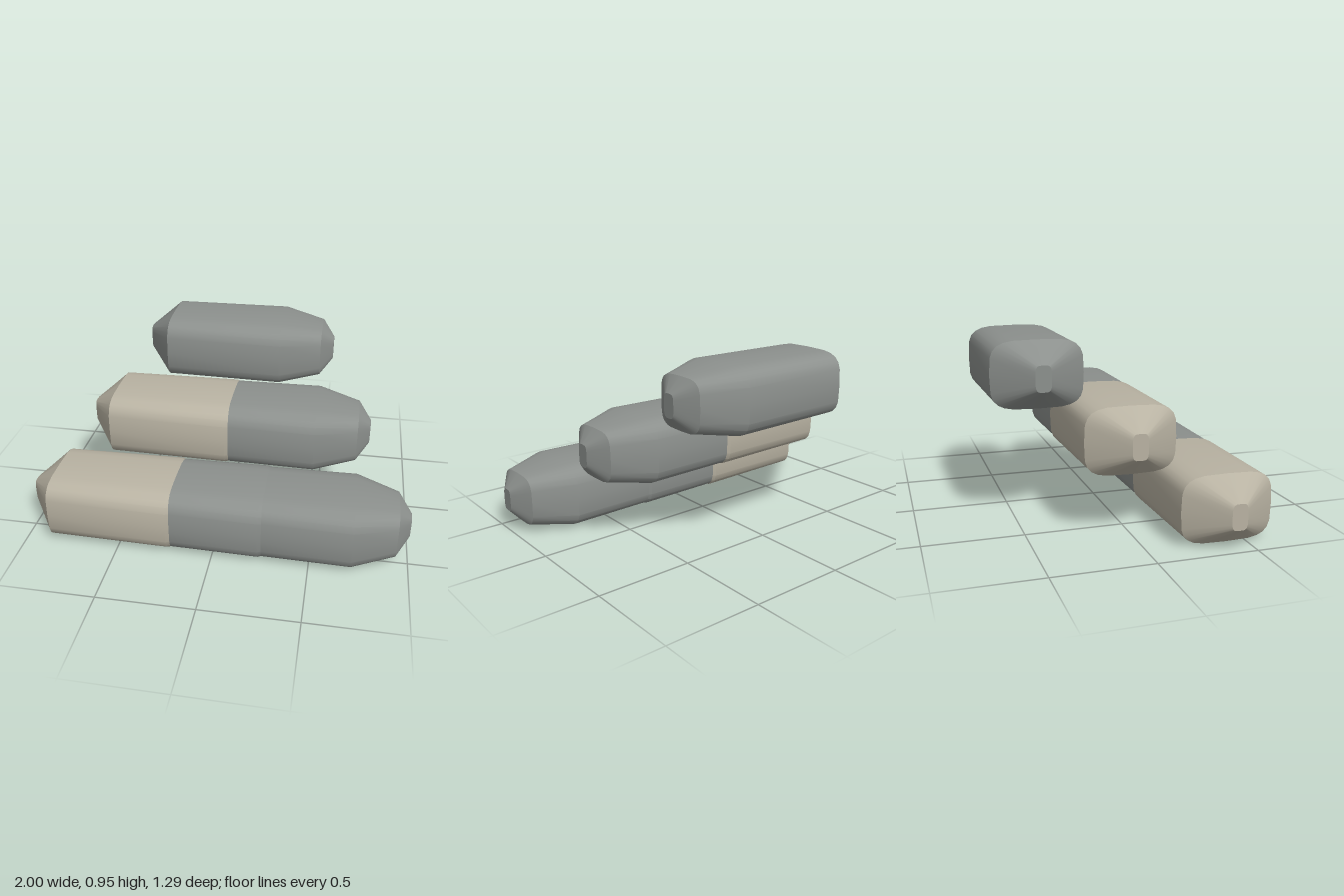
import * as THREE from 'three';
import { toCreasedNormals } from 'three/addons/utils/BufferGeometryUtils.js';

const SIDES = 24;

// Cross-sections along the length: [x, half height, half depth]
const SECTIONS = [
  [-0.5275, 0.065, 0.04],
  [-0.39, 0.17, 0.234],
  [0.24, 0.173, 0.245],
  [0.46, 0.134, 0.15],
  [0.5275, 0.06, 0.036],
];

// Squarish superellipse coordinate
const soft = (v) => Math.sign(v) * Math.sqrt(Math.abs(v));

// One block: rounded sections lofted along x, with capped ends
function blockGeometry() {
  const points = [];
  const index = [];
  for (const [x, h, d] of SECTIONS) {
    for (let j = 0; j < SIDES; j++) {
      const t = (j / SIDES) * Math.PI * 2;
      points.push(x, h * soft(Math.sin(t)), d * soft(Math.cos(t)));
    }
  }
  const last = SECTIONS.length - 1;
  const startCap = points.length / 3;
  points.push(SECTIONS[0][0], 0, 0, SECTIONS[last][0], 0, 0);
  for (let j = 0; j < SIDES; j++) {
    const k = (j + 1) % SIDES;
    for (let i = 0; i < last; i++) {
      const a = i * SIDES, b = a + SIDES;
      index.push(a + j, b + j, a + k, a + k, b + j, b + k);
    }
    index.push(startCap, j, k);
    index.push(startCap + 1, last * SIDES + k, last * SIDES + j);
  }
  const geometry = new THREE.BufferGeometry();
  geometry.setAttribute('position', new THREE.Float32BufferAttribute(points, 3));
  geometry.setIndex(index);
  return toCreasedNormals(geometry, 0.5);
}

export function createModel() {
  const model = new THREE.Group();
  model.name = 'steppedBlocks';
  const geometry = blockGeometry();
  const grey = new THREE.MeshStandardMaterial({ color: 0x8c908d });
  const beige = new THREE.MeshStandardMaterial({ color: 0xb8b2a2 });
  const pitch = 0.4725;

  // Three steps, front to back, of 3, 2 and 1 overlapping blocks
  ['lowerRow', 'middleRow', 'upperRow'].forEach((name, step) => {
    const row = new THREE.Group();
    row.name = name;
    row.position.set(0, 0.173 + step * 0.3, 0.4 - step * 0.4);
    const count = 3 - step;
    for (let i = 0; i < count; i++) {
      const isBeige = count > 1 && i === 0;
      const block = new THREE.Mesh(geometry, isBeige ? beige : grey);
      block.name = isBeige ? 'beigeBlock' : 'greyBlock';
      block.position.x = (i - (count - 1) / 2) * pitch;
      row.add(block);
    }
    model.add(row);
  });
  return model;
}
